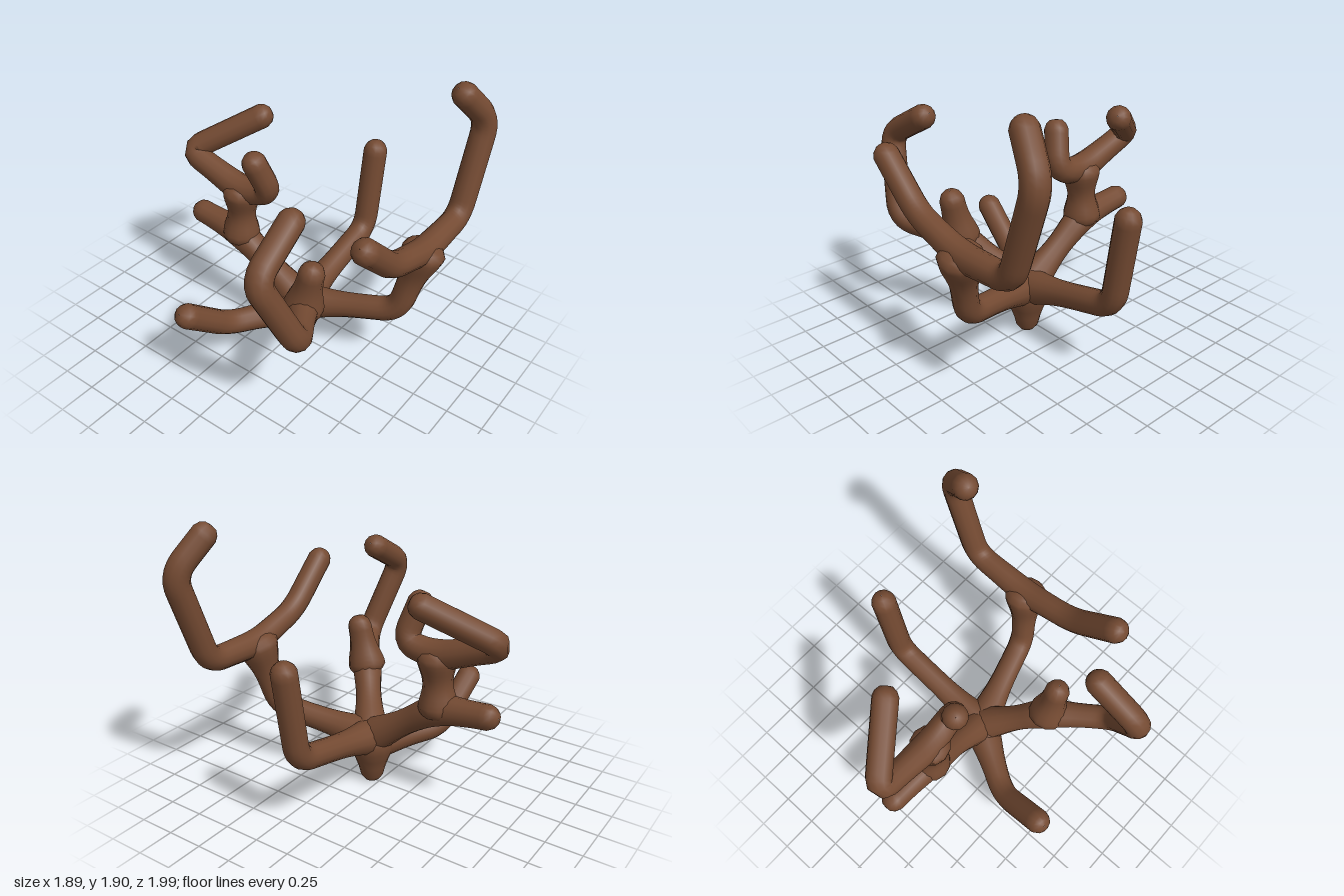
import * as THREE from 'three';

const RADIUS = 0.083;
const SIDES = 12;

// Straight runs between the points, joined by rounded bends
function bentPath(points, cut = 0.12) {
  const p = points.map((a) => new THREE.Vector3(...a));
  const path = new THREE.CurvePath();
  let from = p[0];
  for (let i = 1; i < p.length - 1; i++) {
    const inLen = Math.min(cut, p[i].distanceTo(p[i - 1]) * 0.45);
    const outLen = Math.min(cut, p[i].distanceTo(p[i + 1]) * 0.45);
    const a = p[i].clone().add(p[i - 1].clone().sub(p[i]).setLength(inLen));
    const b = p[i].clone().add(p[i + 1].clone().sub(p[i]).setLength(outLen));
    path.add(new THREE.LineCurve3(from, a));
    path.add(new THREE.QuadraticBezierCurve3(a, p[i], b));
    from = b;
  }
  path.add(new THREE.LineCurve3(from, p[p.length - 1]));
  return path;
}

// Sweeps a round section along the path; flares are [distance along path, extra radius, reach]
function branchGeometry(points, flares = []) {
  const path = bentPath(points);
  const length = path.getLength();
  const steps = Math.ceil(length / 0.035);
  const frames = path.computeFrenetFrames(steps, false);
  const positions = [];
  const index = [];

  const radiusAt = (s) => flares.reduce(
    (r, [at, extra, reach]) => r + extra * Math.exp(-(((s - at) / reach) ** 2)), RADIUS);

  const addRing = (step, push, scale) => {
    const centre = path.getPointAt(step / steps).addScaledVector(frames.tangents[step], push);
    const r = radiusAt((step / steps) * length) * scale;
    for (let k = 0; k < SIDES; k++) {
      const a = (k / SIDES) * Math.PI * 2;
      const v = centre.clone()
        .addScaledVector(frames.normals[step], Math.cos(a) * r)
        .addScaledVector(frames.binormals[step], Math.sin(a) * r);
      positions.push(v.x, v.y, v.z);
    }
  };

  // Blunt rounded caps at both ends
  const cap = [[0.066, 0.02], [0.06, 0.5], [0.036, 0.82]];
  cap.forEach(([push, scale]) => addRing(0, -push, scale));
  for (let i = 0; i <= steps; i++) addRing(i, 0, 1);
  cap.slice().reverse().forEach(([push, scale]) => addRing(steps, push, scale));

  const rings = positions.length / 3 / SIDES;
  for (let i = 0; i < rings - 1; i++) {
    for (let k = 0; k < SIDES; k++) {
      const a = i * SIDES + k;
      const b = i * SIDES + ((k + 1) % SIDES);
      index.push(a, b, a + SIDES, b, b + SIDES, a + SIDES);
    }
  }
  const geometry = new THREE.BufferGeometry();
  geometry.setAttribute('position', new THREE.Float32BufferAttribute(positions, 3));
  geometry.setIndex(index);
  geometry.computeVertexNormals();
  return geometry;
}

export function createModel() {
  const model = new THREE.Group();
  model.name = 'branchingCoral';
  const bark = new THREE.MeshStandardMaterial({ color: 0x744a32 });
  bark.name = 'brown';

  const add = (name, geometry) => {
    const mesh = new THREE.Mesh(geometry, bark);
    mesh.name = name;
    model.add(mesh);
    return mesh;
  };

  // Short stem swelling into the hub where the branches meet
  const stemProfile = [
    [0, 0], [0.05, 0.003], [0.078, 0.04], [0.095, 0.11], [0.12, 0.18],
    [0.15, 0.25], [0.16, 0.32], [0.14, 0.39], [0.09, 0.44], [0, 0.46],
  ].map(([r, y]) => new THREE.Vector2(r, y));
  add('stem', new THREE.LatheGeometry(stemProfile, 16)).position.set(0.067, 0, 0.01);

  const hub = [0.07, 0.34, 0];
  const root = [0, 0.04, 0.22];

  // Single branches
  add('backBranch', branchGeometry(
    [hub, [0.07, 0.53, -0.78], [0.07, 1.15, -0.87]], [root]));
  add('frontRightBranch', branchGeometry(
    [[0.06, 0.29, 0.02], [-0.21, 0.3, 0.46], [-0.25, 0.58, 0.8]], [root]));

  // Left side: rising stalk carrying a long fore-and-aft arm
  const leftFork = [0.83, 0.95, -0.27];
  add('leftStalk', branchGeometry(
    [hub, [0.73, 0.47, -0.18], leftFork], [root, [1.17, 0.06, 0.16]]));
  add('leftArm', branchGeometry([
    [0.75, 1.83, -0.74], [0.84, 1.61, -0.94], [0.83, 0.97, -0.72], leftFork,
    [0.83, 1.07, 0.13], [0.83, 1.37, 0.45],
  ], [[1.35, 0.008, 0.2]]));

  // Right side: low branch, connecting stalk and forked top
  const rightFork = [-0.45, 0.7, 0.01];
  const rightTopFork = [-0.43, 1.06, 0.01];
  add('rightBranch', branchGeometry(
    [hub, rightFork, [-0.81, 0.74, 0.01]], [root, [0.62, 0.02, 0.18]]));
  add('rightStalk', branchGeometry(
    [rightFork, rightTopFork], [[0, 0.05, 0.13], [0.36, 0.05, 0.13]]));
  add('rightTop', branchGeometry([
    [-0.47, 1.49, -0.28], [-0.89, 1.22, 0.02], rightTopFork,
    [-0.19, 1.11, -0.01], [-0.26, 1.37, 0.08],
  ], [[0.96, 0.012, 0.18]]));

  // Front left: long hooked branch with an upright twig
  const frontFork = [0.35, 0.67, 0.36];
  add('frontLeftBranch', branchGeometry([
    hub, frontFork, [0.59, 0.76, 0.73], [0.46, 1.29, 0.95], [0.44, 1.49, 0.59],
  ], [root, [0.55, 0.02, 0.16]]));
  add('frontLeftTwig', branchGeometry(
    [frontFork, [0.415, 0.97, 0.36]], [[0, 0.05, 0.14]]));

  return model;
}
